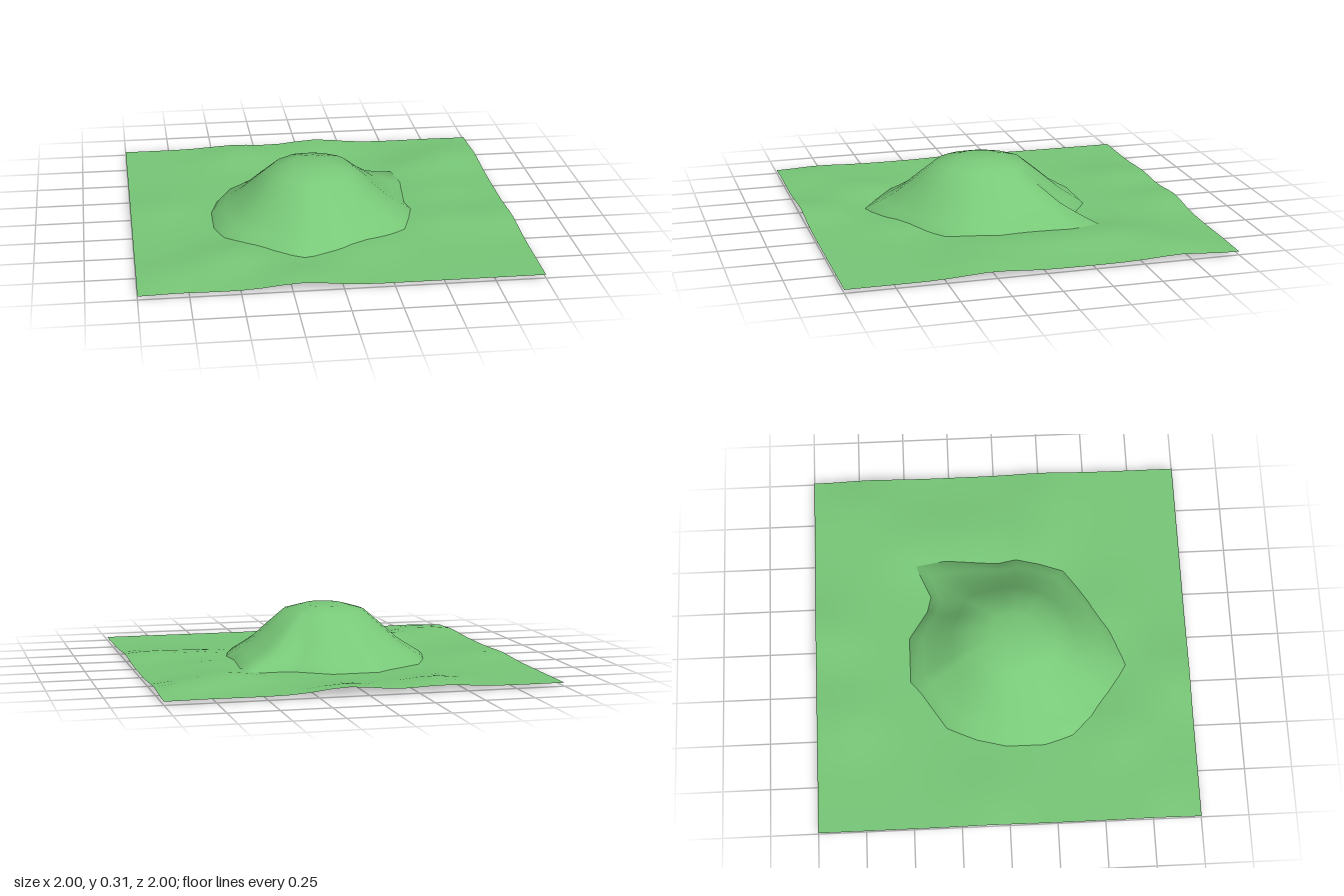
import * as THREE from 'three';

const green = new THREE.MeshStandardMaterial({ color: 0x78c878, side: THREE.DoubleSide });

// low swells of the ground: x, z, height
const swells = [
  [0.6, -0.5, 0.035], [0.64, -0.15, 0.03], [0.6, 0.22, 0.025], [0.88, 0.27, 0.025],
  [-0.5, 0.6, 0.035], [-0.2, 0.92, 0.03], [-0.85, 0.8, 0.02], [-0.37, -0.85, 0.03],
  [-0.85, -0.1, 0.018], [0.1, -0.95, 0.03], [0.15, 0.55, 0.022], [0.85, -0.7, 0.028],
];

function groundHeight(x, z) {
  let h = 0.022;
  for (const [sx, sz, a] of swells) {
    h += a * Math.exp(-((x - sx) ** 2 + (z - sz) ** 2) / 0.035);
  }
  // settle to a level line at the corners
  const corner = Math.min(1, 4 * (2 - Math.abs(x) - Math.abs(z)));
  return 0.022 + (Math.min(h, 0.068) - 0.022) * Math.max(0, corner);
}

function buildGround() {
  const geo = new THREE.PlaneGeometry(2, 2, 20, 20).rotateX(-Math.PI / 2);
  const p = geo.attributes.position;
  for (let i = 0; i < p.count; i++) p.setY(i, groundHeight(p.getX(i), p.getZ(i)));
  geo.computeVertexNormals();
  const mesh = new THREE.Mesh(geo, green);
  mesh.name = 'ground';
  return mesh;
}

// uneven foot of the mound, x and z
const foot = [
  [-0.19, -0.48], [0.05, -0.48], [0.2, -0.38], [0.28, -0.36], [0.47, -0.45], [0.49, -0.28],
  [0.46, 0], [0.48, 0.1], [0.45, 0.22], [0.4, 0.35], [0.22, 0.48], [0.05, 0.58],
  [-0.15, 0.65], [-0.3, 0.55], [-0.43, 0.46], [-0.52, 0.35], [-0.56, 0.2], [-0.56, 0],
  [-0.52, -0.15], [-0.45, -0.3], [-0.25, -0.43],
];
// fraction of the way to the foot, and height there
const rings = [[0.22, 0.308], [0.43, 0.278], [0.6, 0.203], [0.78, 0.118], [0.9, 0.075], [1, 0.04], [1.06, 0.004]];

function buildMound() {
  const cx = -0.04, cz = 0.06, n = foot.length;
  const pos = [cx, 0.31, cz], idx = [];
  rings.forEach(([t, y], r) => {
    const rough = Math.min(1, t ** 3); // the foot is ragged, the crown is round
    foot.forEach(([fx, fz], i) => {
      const a = Math.atan2(fz - cz, fx - cx);
      const ox = THREE.MathUtils.lerp(Math.cos(a) * 0.5, fx - cx, rough);
      const oz = THREE.MathUtils.lerp(Math.sin(a) * 0.55, fz - cz, rough);
      pos.push(cx + ox * t, y, cz + oz * t);
      const j = (i + 1) % n, b = 1 + r * n, c = b - n;
      if (r === 0) idx.push(0, b + j, b + i);
      else idx.push(c + i, c + j, b + i, c + j, b + j, b + i);
    });
  });
  const geo = new THREE.BufferGeometry();
  geo.setAttribute('position', new THREE.Float32BufferAttribute(pos, 3));
  geo.setIndex(idx);
  geo.computeVertexNormals();
  const mesh = new THREE.Mesh(geo, green);
  mesh.name = 'mound';
  return mesh;
}

export function createModel() {
  const group = new THREE.Group();
  group.name = 'grassyHill';
  group.add(buildGround(), buildMound());
  return group;
}
